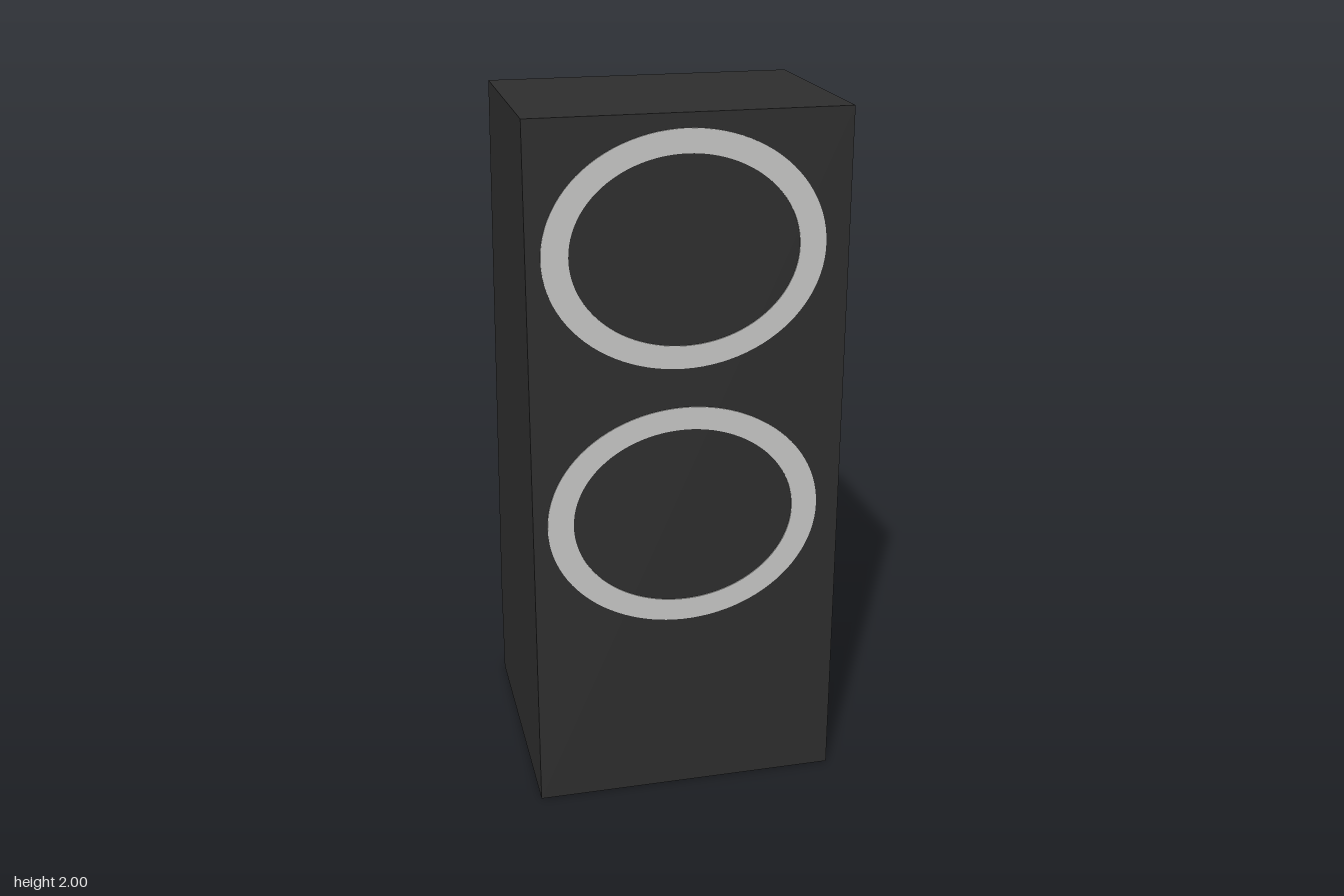
import * as THREE from 'three';

const WIDTH = 0.88;
const FRONT = 0.396;

export function createModel() {
  const model = new THREE.Group();
  model.name = 'loudspeaker';

  const charcoal = new THREE.MeshStandardMaterial({ color: 0x2d2d2d });
  charcoal.name = 'charcoal';
  const silver = new THREE.MeshStandardMaterial({ color: 0xc4c4c2 });
  silver.name = 'silver';

  // Cabinet: side profile (z, y) with a sloping back, extruded across the width
  const profile = new THREE.Shape([
    [FRONT, 0], [FRONT, 2], [-0.225, 2], [-0.396, 0.3], [-0.396, 0],
  ].map(([z, y]) => new THREE.Vector2(z, y)));
  const cabinetGeometry = new THREE.ExtrudeGeometry(profile, { depth: WIDTH, bevelEnabled: false });
  cabinetGeometry.rotateY(-Math.PI / 2).translate(WIDTH / 2, 0, 0);
  const cabinet = new THREE.Mesh(cabinetGeometry, charcoal);
  cabinet.name = 'cabinet';
  model.add(cabinet);

  // Driver rings: thin oval plates on the front
  function addRing(name, y) {
    const shape = new THREE.Shape();
    shape.absellipse(0, 0, 0.387, 0.325, 0, Math.PI * 2);
    const hole = new THREE.Path();
    hole.absellipse(0, 0, 0.314, 0.26, 0, Math.PI * 2, true);
    shape.holes.push(hole);
    const geometry = new THREE.ExtrudeGeometry(shape, { depth: 0.003, bevelEnabled: false, curveSegments: 48 });
    const ring = new THREE.Mesh(geometry, silver);
    ring.name = name;
    ring.position.set(-0.013, y, FRONT);
    model.add(ring);
  }
  addRing('upperDriverRing', 1.635);
  addRing('lowerDriverRing', 0.873);

  return model;
}
